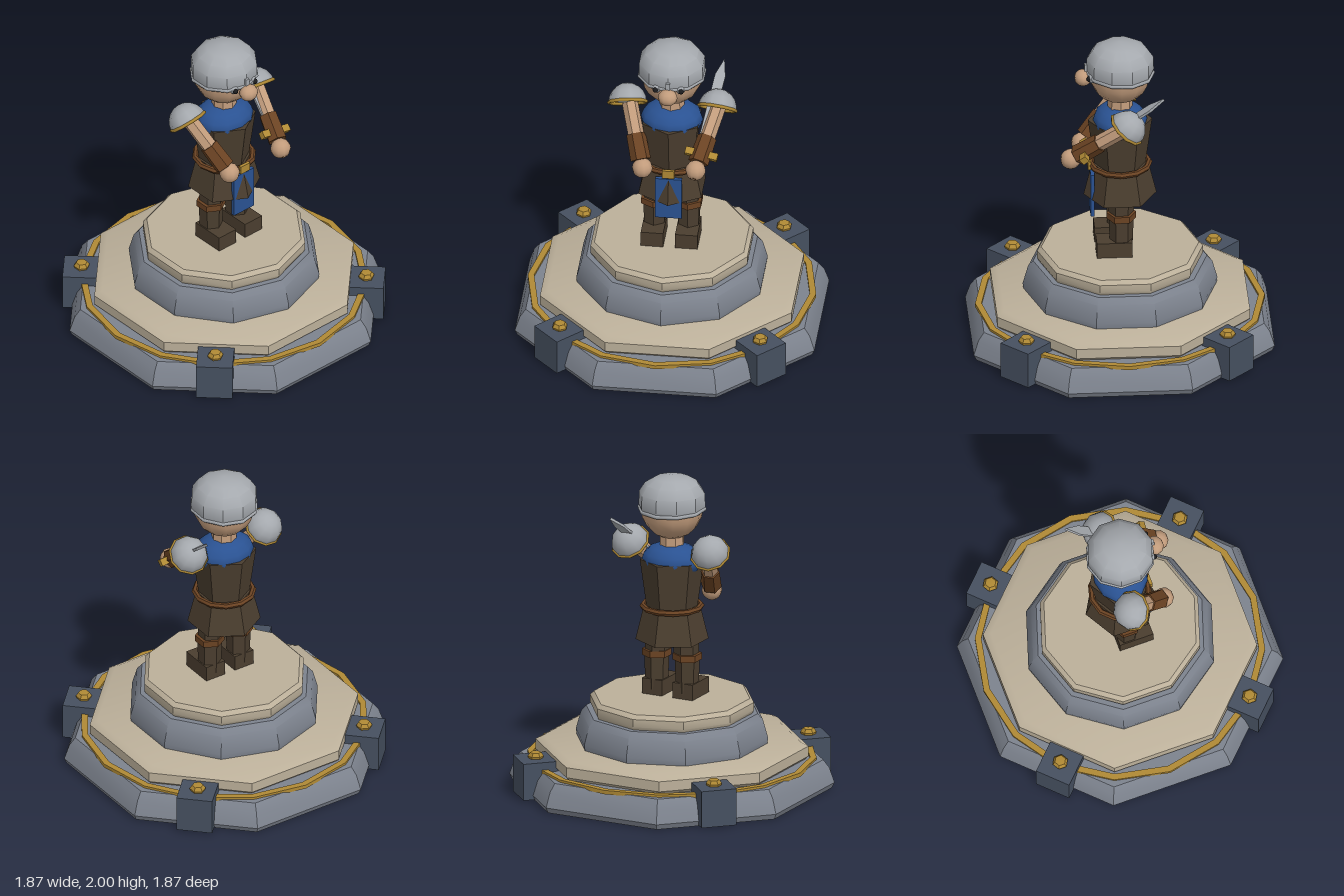
import * as THREE from 'three';
import { toCreasedNormals } from 'three/addons/utils/BufferGeometryUtils.js';

const mat = (name, color, side = THREE.FrontSide) => {
  const m = new THREE.MeshStandardMaterial({ color, side });
  m.name = name;
  return m;
};

export function createModel() {
  const root = new THREE.Group();
  root.name = 'warriorOnPedestal';

  const stone = mat('greyStone', 0x7d838e);
  const sand = mat('sandStone', 0xbcb09a);
  const slate = mat('slate', 0x465060);
  const gold = mat('gold', 0xb08a35);
  const cloth = mat('darkBrownCloth', 0x4b3e2f);
  const leather = mat('leather', 0x6b4323);
  const skin = mat('skin', 0xc29c7c);
  const blue = mat('blueCloth', 0x2a5292);
  const metal = mat('steel', 0xa5a9ae, THREE.DoubleSide);
  const black = mat('black', 0x1c1c1e);

  const V = (x, y, z) => new THREE.Vector3(x, y, z);
  const UP = V(0, 1, 0);
  const add = (name, geo, material, x = 0, y = 0, z = 0, parent = root) => {
    const m = new THREE.Mesh(geo, material);
    m.name = name;
    m.position.set(x, y, z);
    parent.add(m);
    return m;
  };
  const crease = (geo, angle = 0.6) => toCreasedNormals(geo, angle);
  const lathe = (pts, sides, scale = 1) =>
    crease(new THREE.LatheGeometry(pts.map(([r, y]) => new THREE.Vector2(r * scale, y)), sides));
  const box = (w, h, d) => new THREE.BoxGeometry(w, h, d);
  const cyl = (top, bottom, h, sides) => crease(new THREE.CylinderGeometry(top, bottom, h, sides));
  const ball = (r, w = 10, h = 8) => new THREE.SphereGeometry(r, w, h);
  // tapered limb between two points
  const limb = (name, a, b, ra, rb, material) => {
    const mid = a.clone().lerp(b, 0.5);
    const m = add(name, cyl(rb, ra, a.distanceTo(b), 6), material, mid.x, mid.y, mid.z);
    m.quaternion.setFromUnitVectors(UP, b.clone().sub(a).normalize());
    return m;
  };

  // Pedestal: octagonal lower tiers (profiles give flat-side distance)
  const oct = 1 / Math.cos(Math.PI / 8);
  add('baseTier', lathe([[0, 0], [0.92, 0], [0.935, 0.035], [0.905, 0.13], [0.87, 0.18], [0, 0.18]], 8, oct),
    stone).rotation.y = Math.PI / 8;
  add('baseSlab', lathe([[0, 0.17], [0.765, 0.18], [0.785, 0.2], [0.785, 0.265], [0.74, 0.29], [0, 0.29]], 8, oct),
    sand).rotation.y = Math.PI / 8;
  add('goldBand', lathe([[0.86, 0.17], [0.9, 0.17], [0.9, 0.195], [0.86, 0.195], [0.86, 0.17]], 16), gold);

  // Pedestal: ten-sided upper tiers
  add('upperTier', lathe([[0, 0.28], [0.6, 0.29], [0.605, 0.325], [0.573, 0.44], [0.54, 0.48], [0, 0.48]], 10), stone);
  add('upperSlab', lathe([[0, 0.47], [0.505, 0.48], [0.515, 0.5], [0.515, 0.55], [0.49, 0.575], [0, 0.575]], 10), sand);

  // Corner blocks with studs
  for (const sx of [-1, 1]) for (const sz of [-1, 1]) {
    add('cornerBlock', box(0.226, 0.235, 0.226), slate, sx * 0.625, 0.1255, sz * 0.625).rotation.y = Math.PI / 4;
    add('stud', lathe([[0.045, 0], [0.05, 0.015], [0.035, 0.038], [0, 0.043]], 6), gold, sx * 0.625, 0.242, sz * 0.625);
  }

  // Legs
  for (const s of [-1, 1]) {
    add('boot', box(0.14, 0.1, 0.22), cloth, s * 0.107, 0.626, 0.045);
    add('shin', cyl(0.078, 0.07, 0.22, 6), cloth, s * 0.107, 0.72, 0);
    add('kneeStrap', cyl(0.092, 0.092, 0.042, 6), leather, s * 0.107, 0.84, 0);
    add('thigh', cyl(0.082, 0.078, 0.2, 6), cloth, s * 0.1, 0.95, 0);
  }

  // Tunic, belt and front cloth
  add('skirt', cyl(0.175, 0.227, 0.215, 6), cloth, 0, 1.045, 0);
  add('torso', cyl(0.2, 0.158, 0.31, 6), cloth, 0, 1.3, 0);
  add('belt', crease(new THREE.TorusGeometry(0.182, 0.019, 6, 12)), leather, 0, 1.152, 0).rotation.x = Math.PI / 2;
  add('buckle', box(0.075, 0.055, 0.02), gold, 0, 1.153, 0.192);
  add('tabard', box(0.165, 0.29, 0.024), blue, 0, 0.965, 0.175);
  add('collar', ball(1, 12, 8), blue, 0, 1.45, 0).scale.set(0.195, 0.115, 0.17);
  add('neck', cyl(0.075, 0.08, 0.12, 8), skin, 0, 1.58, 0);

  // Head and face
  add('head', ball(0.195, 12, 10), skin, 0, 1.785, 0);
  add('nose', ball(0.055), skin, 0, 1.755, 0.23).scale.set(1.12, 0.95, 1);
  for (const s of [-1, 1]) {
    add('eye', ball(0.028, 8, 6), metal, s * 0.075, 1.785, 0.178);
    add('pupil', ball(0.018, 8, 6), black, s * 0.08, 1.785, 0.197);
  }

  // Helmet
  add('helmet', lathe([[0.205, 1.785], [0.21, 1.8], [0.208, 1.885], [0.17, 1.943], [0.11, 1.98], [0, 2]], 10), metal);
  const rim = add('helmetRim', new THREE.TorusGeometry(0.205, 0.013, 6, 10), metal, 0, 1.785, 0);
  rim.rotation.set(Math.PI / 2 - 0.04, 0, Math.PI / 2);
  add('noseGuard', box(0.025, 0.07, 0.02), metal, 0, 1.815, 0.212);

  // Shoulder plates: open domes facing up and back
  for (const s of [-1, 1]) {
    const plate = new THREE.Group();
    plate.name = 'shoulderPlate';
    plate.position.set(s * 0.28, 1.53, -0.02);
    plate.quaternion.setFromUnitVectors(UP, V(s * 0.1, 0.75, -0.65).normalize());
    root.add(plate);
    add('dome', new THREE.SphereGeometry(0.12, 10, 5, 0, Math.PI * 2, 0, Math.PI * 0.52), metal, 0, 0, 0, plate);
    add('domeRim', new THREE.TorusGeometry(0.118, 0.011, 5, 10), gold, 0, 0, 0, plate).rotation.x = Math.PI / 2;
  }

  // Arms, each running straight from shoulder to hand
  const arms = [
    [V(-0.265, 1.53, -0.02), V(-0.158, 1.215, 0.23)],
    [V(0.285, 1.54, -0.02), V(0.185, 1.285, 0.32)],
  ];
  for (const [shoulder, hand] of arms) {
    const at = (t) => shoulder.clone().lerp(hand, t);
    limb('arm', shoulder, at(0.6), 0.05, 0.05, skin);
    limb('bracer', at(0.48), at(0.88), 0.06, 0.064, leather);
    add('hand', ball(0.064), skin, hand.x, hand.y, hand.z);
  }

  // Sword held back along the left arm
  const grip = arms[1][1];
  const tip = V(0.298, 1.74, -0.253);
  const sword = new THREE.Group();
  sword.name = 'sword';
  sword.position.copy(grip);
  sword.quaternion.setFromUnitVectors(UP, tip.clone().sub(grip).normalize());
  root.add(sword);
  const length = tip.distanceTo(grip);
  const outline = new THREE.Shape([[-0.03, 0.1], [0.03, 0.1], [0.033, length - 0.11], [0, length], [-0.033, length - 0.11]]
    .map(([x, y]) => new THREE.Vector2(x, y)));
  add('blade', new THREE.ExtrudeGeometry(outline, { depth: 0.016, bevelEnabled: false }), metal, 0, 0, -0.008, sword);
  add('guard', box(0.205, 0.045, 0.045), gold, 0.01, 0.11, 0, sword);
  add('handle', cyl(0.02, 0.02, 0.16, 6), leather, 0, 0.02, 0, sword);

  return root;
}
